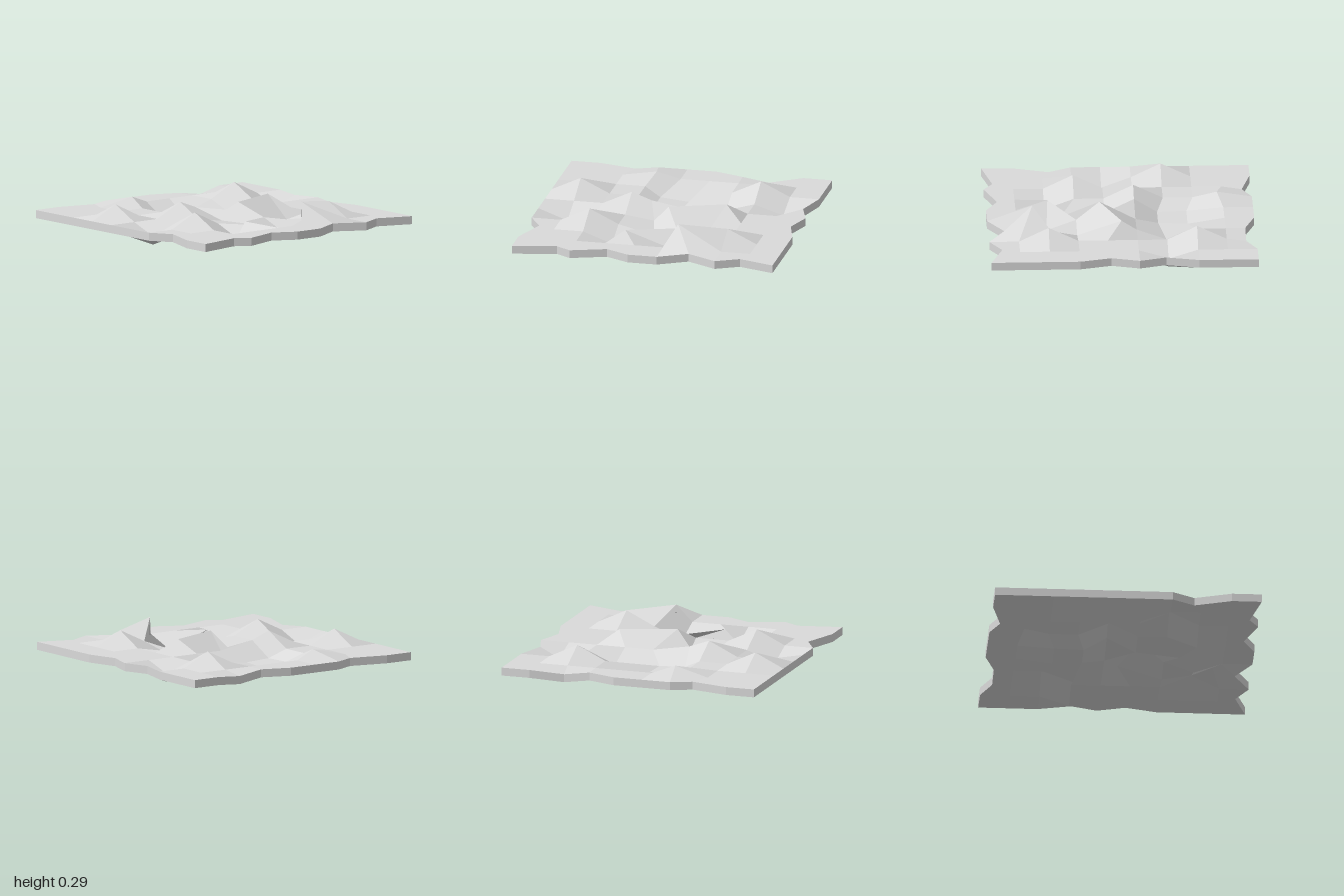
import * as THREE from 'three';

const N = 9, STEP = 2 / N, TOP = 0.142, THICK = 0.061;

// Height offsets of grid points, "column,row" (rows run back to front)
const heights = {
  '1,3': 0.106, '2,6': 0.106, '3,4': 0.106, '7,2': 0.106, '7,7': 0.106,
  '1,5': -0.081, '3,7': -0.081, '5,7': -0.081, '6,3': -0.081, '8,3': -0.07,
  '6,6': -0.04, '4,5': -0.03,
};

// Grid points that also slide sideways: [x, y offset, z]
const moved = {
  '2,0': [-0.49, 0, -0.93], '6,0': [0.33, 0, -0.925], '7,0': [0.53, -0.03, -0.925],
  '9,3': [0.935, 0, -0.31], '9,5': [0.935, 0, 0.1], '0,7': [-0.905, 0, 0.5],
  '1,9': [-0.67, 0, 0.93], '3,9': [-0.29, 0, 0.91], '6,9': [0.33, 0, 0.88], '8,9': [0.73, 0, 0.91],
  '3,1': [-0.285, 0.06, -0.735], '4,2': [-0.205, -0.06, -0.505], '5,2': [0.015, -0.08, -0.505],
  '4,3': [-0.205, -0.065, -0.285], '5,3': [0, -0.075, -0.285], '4,4': [-0.18, 0.05, -0.111],
  '5,5': [0.01, 0.104, 0.155], '6,5': [0.42, 0.104, 0.005],
  '4,6': [-0.035, -0.03, 0.445], '4,7': [-0.235, 0.03, 0.535], '6,8': [0.2, 0.153, 0.665],
};

function point(i, j, drop = 0) {
  const key = `${i},${j}`;
  const [x, h, z] = moved[key] ?? [-1 + i * STEP, heights[key] ?? 0, -1 + j * STEP];
  return new THREE.Vector3(x, TOP + h - drop, z);
}

// Faceted mesh from quads, with one normal per quad
function quadMesh(name, quads, material) {
  const positions = [], normals = [];
  for (const [a, b, c, d] of quads) {
    const n = c.clone().sub(a).cross(d.clone().sub(b)).normalize();
    for (const v of [a, b, c, a, c, d]) {
      positions.push(v.x, v.y, v.z);
      normals.push(n.x, n.y, n.z);
    }
  }
  const geometry = new THREE.BufferGeometry();
  geometry.setAttribute('position', new THREE.Float32BufferAttribute(positions, 3));
  geometry.setAttribute('normal', new THREE.Float32BufferAttribute(normals, 3));
  const mesh = new THREE.Mesh(geometry, material);
  mesh.name = name;
  return mesh;
}

export function createModel() {
  const group = new THREE.Group();
  group.name = 'groundTile';
  const stone = new THREE.MeshStandardMaterial({ color: 0xdadada });
  stone.name = 'lightGrey';

  // Uneven upper surface and the matching underside, split along the same diagonal
  const top = [], under = [];
  for (let j = 0; j < N; j++) {
    for (let i = 0; i < N; i++) {
      const frontLeft = [i, j + 1], frontRight = [i + 1, j + 1], backRight = [i + 1, j], backLeft = [i, j];
      top.push([frontLeft, frontRight, backRight, backLeft].map(([u, v]) => point(u, v)));
      under.push([frontLeft, backLeft, backRight, frontRight].map(([u, v]) => point(u, v, THICK)));
    }
  }

  // Jagged rim joining both surfaces on all four sides
  const rim = [];
  const wall = (p, q) => rim.push([point(...p, THICK), point(...q, THICK), point(...q), point(...p)]);
  for (let k = 0; k < N; k++) {
    wall([k, N], [k + 1, N]);
    wall([k + 1, 0], [k, 0]);
    wall([N, k + 1], [N, k]);
    wall([0, k], [0, k + 1]);
  }

  group.add(
    quadMesh('upperSurface', top, stone),
    quadMesh('underside', under, stone),
    quadMesh('rim', rim, stone),
  );
  return group;
}
